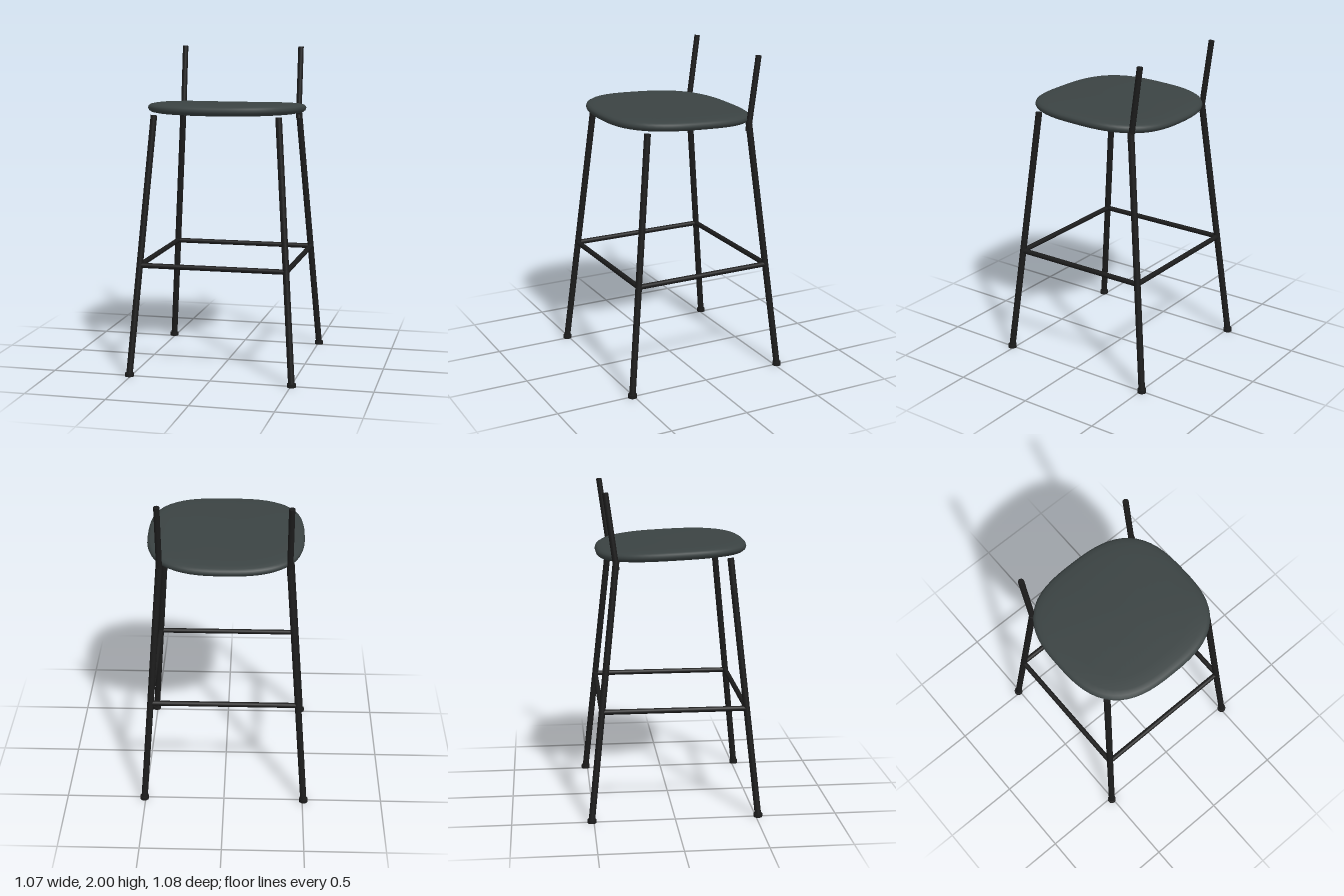
import * as THREE from 'three';
import { mergeVertices } from 'three/addons/utils/BufferGeometryUtils.js';

const paint = (name, color) => {
  const material = new THREE.MeshStandardMaterial({ color });
  material.name = name;
  return material;
};

// Round bar between two points
function bar(name, from, to, radius, material) {
  const a = new THREE.Vector3(...from);
  const dir = new THREE.Vector3(...to).sub(a);
  const mesh = new THREE.Mesh(new THREE.CylinderGeometry(radius, radius, dir.length(), 20), material);
  mesh.position.copy(a).addScaledVector(dir, 0.5);
  mesh.quaternion.setFromUnitVectors(new THREE.Vector3(0, 1, 0), dir.normalize());
  mesh.name = name;
  return mesh;
}

// Padded seat: a lathed cushion profile pushed out to a rounded square, then tilted back
function seatGeometry() {
  const profile = [
    [0, -0.033], [0.4, -0.033], [0.75, -0.032], [0.9, -0.03], [0.96, -0.025], [0.99, -0.014],
    [1, 0], [0.99, 0.014], [0.96, 0.023], [0.9, 0.03], [0.75, 0.036], [0.4, 0.042], [0, 0.044],
  ].map(([r, y]) => new THREE.Vector2(r, y));
  let geometry = new THREE.LatheGeometry(profile, 72);
  const p = geometry.attributes.position;
  const n = 2.8;
  for (let i = 0; i < p.count; i++) {
    const x = p.getX(i), z = p.getZ(i), r = Math.hypot(x, z);
    const k = r > 1e-6 ? r / Math.pow(Math.abs(x) ** n + Math.abs(z) ** n, 1 / n) : 0;
    const px = x * k * 0.478, pz = z * k * 0.465 + 0.015;
    const lift = 0.012 * (px / 0.478) ** 2;
    p.setXYZ(i, px, p.getY(i) + 1.618 + 0.043 * pz + lift, pz);
  }
  geometry.deleteAttribute('normal');
  geometry.deleteAttribute('uv');
  geometry = mergeVertices(geometry, 1e-5);
  geometry.computeVertexNormals();
  return geometry;
}

export function createModel() {
  const group = new THREE.Group();
  const frame = paint('black metal', 0x1c1c1c);
  const fabric = paint('dark grey seat', 0x3b4343);

  const seat = new THREE.Mesh(seatGeometry(), fabric);
  seat.name = 'seat';
  group.add(seat);

  for (const sx of [1, -1]) {
    const side = sx > 0 ? 'left' : 'right';
    for (const sz of [1, -1]) {
      const end = sz > 0 ? 'Front' : 'Back';
      // Splayed leg with a flat foot
      group.add(bar(side + end + 'Leg', [sx * 0.507, 0.014, sz * 0.513], [sx * 0.386, 1.6, sz * 0.342], 0.02, frame));
      group.add(bar(side + end + 'Foot', [sx * 0.507, 0, sz * 0.513], [sx * 0.507, 0.022, sz * 0.513], 0.027, frame));
    }
    // Side footrest rail
    group.add(bar(side + 'Rail', [sx * 0.457, 0.685, 0.439], [sx * 0.457, 0.685, -0.439], 0.016, frame));
    // Upright post behind the seat
    group.add(bar(side + 'BackPost', [sx * 0.386, 1.54, -0.34], [sx * 0.386, 1.998, -0.403], 0.018, frame));
  }

  // Front and back footrest rails
  for (const sz of [1, -1])
    group.add(bar(sz > 0 ? 'frontRail' : 'backRail', [-0.457, 0.685, sz * 0.441], [0.457, 0.685, sz * 0.441], 0.016, frame));

  return group;
}
